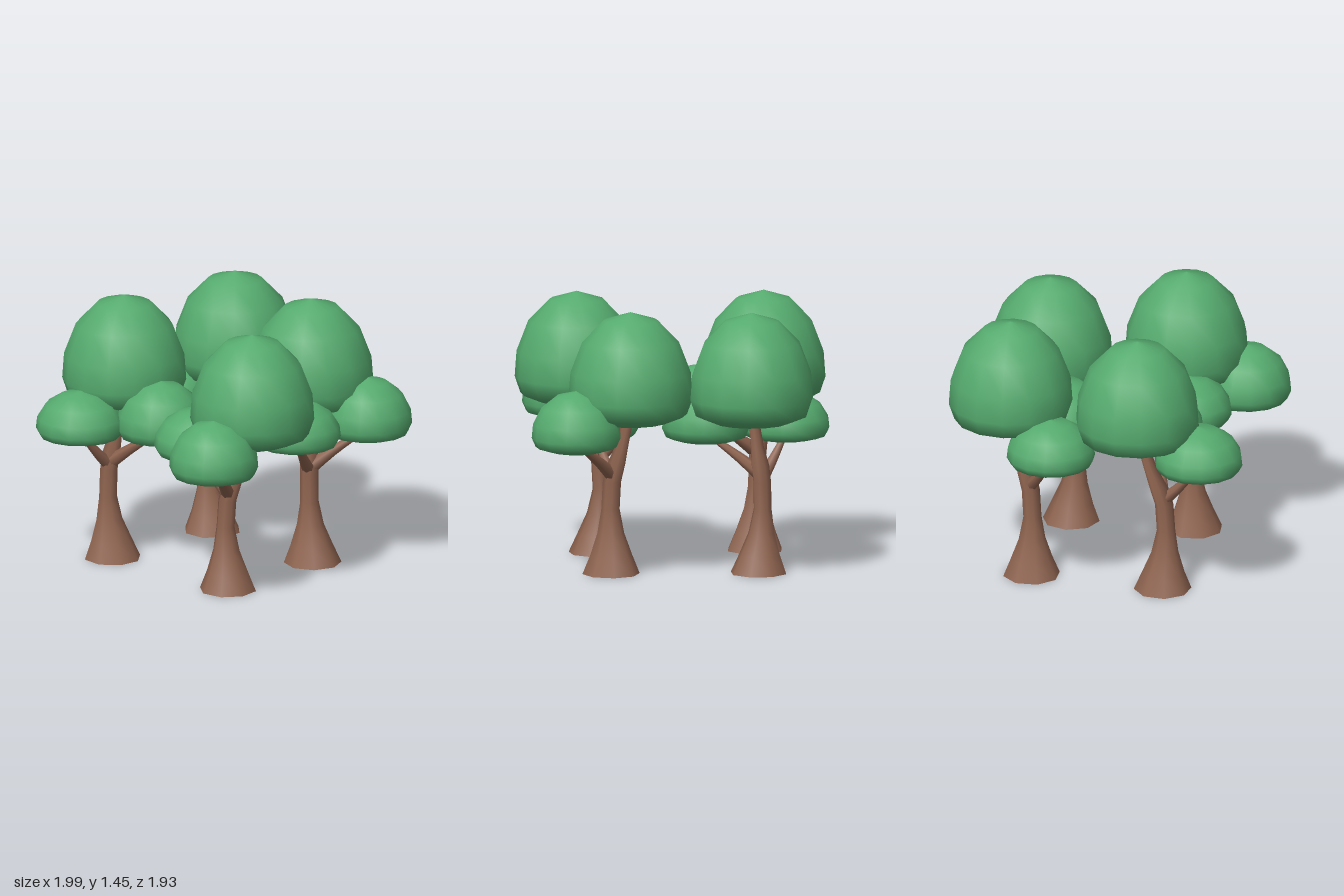
import * as THREE from 'three';

const leafGreen = new THREE.MeshStandardMaterial({ color: 0x55aa6e });
leafGreen.name = 'leafGreen';
const barkBrown = new THREE.MeshStandardMaterial({ color: 0x8f6450, side: THREE.DoubleSide });
barkBrown.name = 'barkBrown';

const vec = (x, y, z) => new THREE.Vector3(x, y, z);

// Unit foliage dome: radius 1, height 1, flattened underneath
function foliageGeometry() {
  const profile = [
    [0, 0], [0.6, 0.01], [0.91, 0.08], [1, 0.225],
    [0.97, 0.455], [0.78, 0.73], [0.44, 0.925], [0, 1],
  ];
  return new THREE.LatheGeometry(profile.map(([r, y]) => new THREE.Vector2(r, y)), 14);
}

// Flared, hollow-bottomed trunk whose rings are shifted sideways to bend it
function trunkGeometry() {
  // y, radius, shift x, shift z
  const rings = [
    [0, 0.156, 0, 0], [0.1, 0.115, -0.003, -0.005], [0.22, 0.073, -0.012, -0.013],
    [0.35, 0.05, -0.018, -0.018], [0.5, 0.05, -0.008, -0.018], [0.6, 0.05, 0.022, -0.016],
    [0.7, 0.037, 0.062, -0.012], [0.82, 0.031, 0.1, -0.008], [0.92, 0.026, 0.12, 0],
  ];
  const geometry = new THREE.LatheGeometry(rings.map(([y, r]) => new THREE.Vector2(r, y)), 8);
  const p = geometry.attributes.position;
  for (let i = 0; i < p.count; i++) {
    const [, , dx, dz] = rings[i % rings.length];
    p.setX(i, p.getX(i) + dx);
    p.setZ(i, p.getZ(i) + dz);
  }
  return geometry;
}

// Curved branch, tapering from r0 to r1
function branchGeometry(points, r0, r1) {
  const segments = 5, sides = 7;
  const curve = new THREE.CatmullRomCurve3(points);
  const geometry = new THREE.TubeGeometry(curve, segments, 1, sides);
  const p = geometry.attributes.position;
  const v = vec(0, 0, 0);
  for (let i = 0; i < p.count; i++) {
    const t = Math.floor(i / (sides + 1)) / segments;
    const centre = curve.getPointAt(t);
    v.fromBufferAttribute(p, i).sub(centre).multiplyScalar(THREE.MathUtils.lerp(r0, r1, t)).add(centre);
    p.setXYZ(i, v.x, v.y, v.z);
  }
  return geometry;
}

export function createModel() {
  const model = new THREE.Group();
  model.name = 'treeGrove';

  const foliage = foliageGeometry();
  const woodParts = {
    trunk: trunkGeometry(),
    longBranch: branchGeometry([vec(0, 0.54, -0.01), vec(0, 0.63, 0.11), vec(-0.005, 0.74, 0.28)], 0.04, 0.013),
    shortBranch: branchGeometry([vec(0.01, 0.51, -0.015), vec(-0.09, 0.615, -0.055), vec(-0.185, 0.74, -0.097)], 0.038, 0.014),
  };
  // name, position, radius, height
  const foliageParts = [
    ['crown', vec(0.135, 0.842, 0), 0.336, 0.608],
    ['longBranchFoliage', vec(-0.005, 0.71, 0.298), 0.241, 0.332],
    ['shortBranchFoliage', vec(-0.19, 0.71, -0.097), 0.24, 0.27],
  ];

  // Trees: x, z, heading in degrees
  const trees = [
    [-0.565, -0.255, -48], [0.08, -0.61, -11], [0.465, 0.09, -79], [-0.1, 0.465, 28],
  ];
  for (const [x, z, heading] of trees) {
    const tree = new THREE.Group();
    tree.name = 'tree';
    for (const [name, geometry] of Object.entries(woodParts)) {
      const mesh = new THREE.Mesh(geometry, barkBrown);
      mesh.name = name;
      tree.add(mesh);
    }
    for (const [name, position, radius, height] of foliageParts) {
      const mesh = new THREE.Mesh(foliage, leafGreen);
      mesh.name = name;
      mesh.position.copy(position);
      mesh.scale.set(radius, height, radius);
      tree.add(mesh);
    }
    tree.position.set(x, 0, z);
    tree.rotation.y = -THREE.MathUtils.degToRad(heading);
    model.add(tree);
  }
  return model;
}
